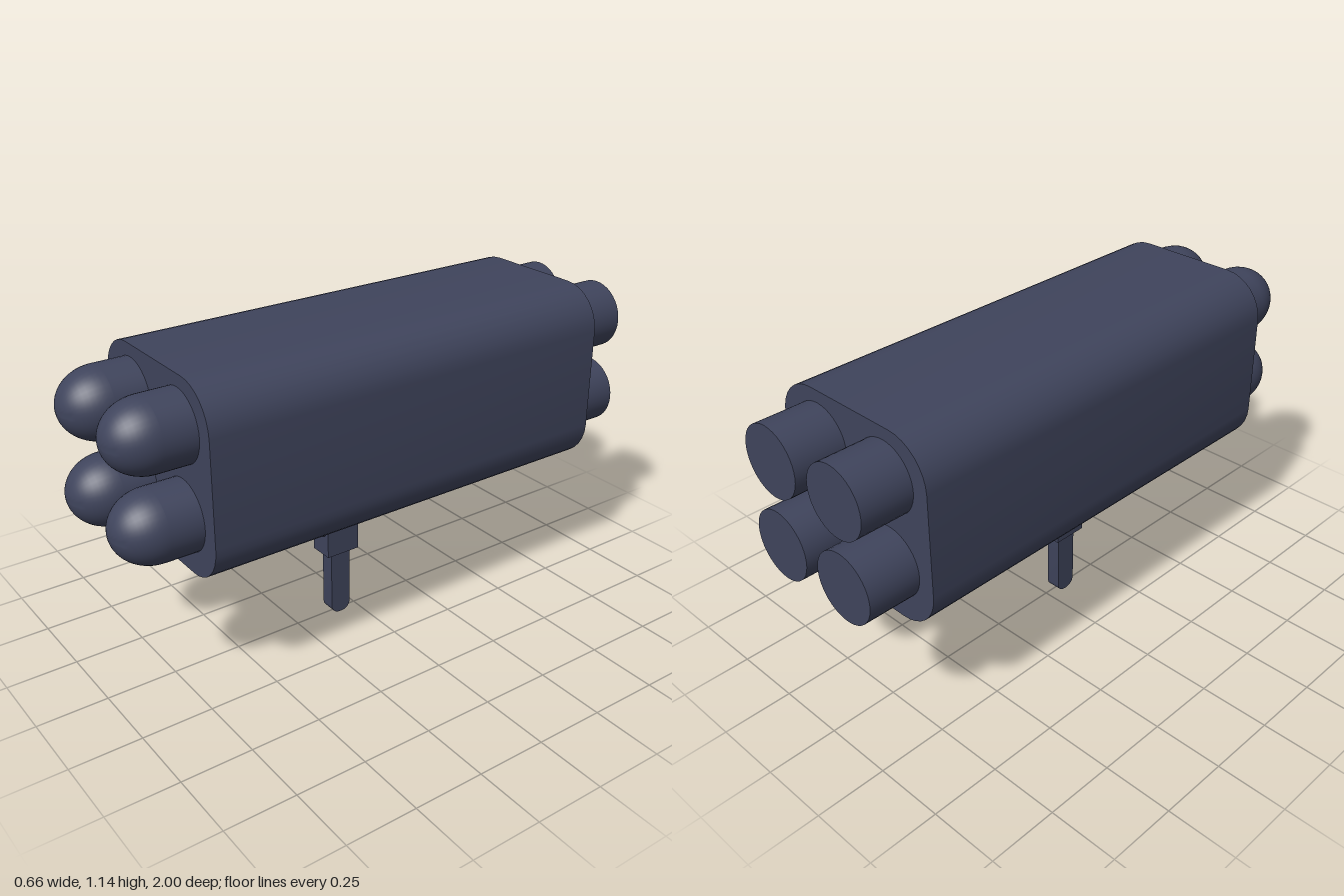
import * as THREE from 'three';
import { toCreasedNormals } from 'three/addons/utils/BufferGeometryUtils.js';

const slate = new THREE.MeshStandardMaterial({ color: 0x3f445c });
slate.name = 'slate';

function part(name, geometry, parent) {
  const mesh = new THREE.Mesh(geometry, slate);
  mesh.name = name;
  parent.add(mesh);
  return mesh;
}

function extrude(shape, depth, curveSegments) {
  const geo = new THREE.ExtrudeGeometry(shape, { depth, curveSegments, bevelEnabled: false });
  return toCreasedNormals(geo, 0.6);
}

// Side outline drawn as (z, y), extruded across x from xMin to xMax
function sideExtrude(shape, xMin, xMax, curveSegments) {
  return extrude(shape, xMax - xMin, curveSegments).rotateY(-Math.PI / 2).translate(xMax, 0, 0);
}

export function createModel() {
  const model = new THREE.Group();
  model.name = 'rocketLauncher';

  // Housing: rounded square section running front to back
  const h = 0.33, r = 0.15, c = h - r;
  const section = new THREE.Shape();
  section.moveTo(h, -c);
  [[c, c], [-c, c], [-c, -c], [c, -c]].forEach(([x, y], i) => {
    section.absarc(x, y, r, i * Math.PI / 2, (i + 1) * Math.PI / 2, false);
  });
  section.closePath();
  part('housing', extrude(section, 1.56, 4).translate(0, 0.81, -0.815), model);

  // Four rockets: flat tail, straight body, domed nose
  const R = 0.122, noseStart = 0.858;
  const profile = [new THREE.Vector2(0, -1), new THREE.Vector2(R, -1)];
  for (let i = 0; i <= 12; i++) {
    const a = i / 12 * Math.PI / 2;
    profile.push(new THREE.Vector2(i === 12 ? 0 : R * Math.cos(a), noseStart + (1 - noseStart) * Math.sin(a)));
  }
  const rocketGeo = toCreasedNormals(new THREE.LatheGeometry(profile, 40).rotateX(Math.PI / 2), 0.6);
  for (const x of [-0.15, 0.15]) {
    for (const y of [0.675, 0.975]) {
      part('rocket', rocketGeo, model).position.set(x, y, 0);
    }
  }

  // Grip mount block
  part('gripMount', new THREE.BoxGeometry(0.09, 0.228, 0.13).translate(-0.005, 0.369, 0.075), model);

  // Grip with rounded lower end
  const grip = new THREE.Shape();
  grip.moveTo(0.115, 0.27);
  grip.lineTo(0.035, 0.27);
  grip.lineTo(0.035, 0.035);
  grip.absarc(0.07, 0.035, 0.035, Math.PI, Math.PI * 1.5, false);
  grip.absarc(0.08, 0.035, 0.035, Math.PI * 1.5, Math.PI * 2, false);
  grip.closePath();
  part('grip', sideExtrude(grip, -0.03, 0.024, 6), model);

  // Trigger guard: thin curved strip in front of the mount
  const guard = new THREE.Shape();
  guard.moveTo(0.205, 0.476);
  guard.lineTo(0.205, 0.43);
  guard.bezierCurveTo(0.205, 0.382, 0.18, 0.354, 0.135, 0.352);
  guard.lineTo(0.135, 0.337);
  guard.bezierCurveTo(0.19, 0.34, 0.221, 0.375, 0.221, 0.43);
  guard.lineTo(0.221, 0.476);
  guard.closePath();
  part('triggerGuard', sideExtrude(guard, -0.03, 0.024, 8), model);

  return model;
}
